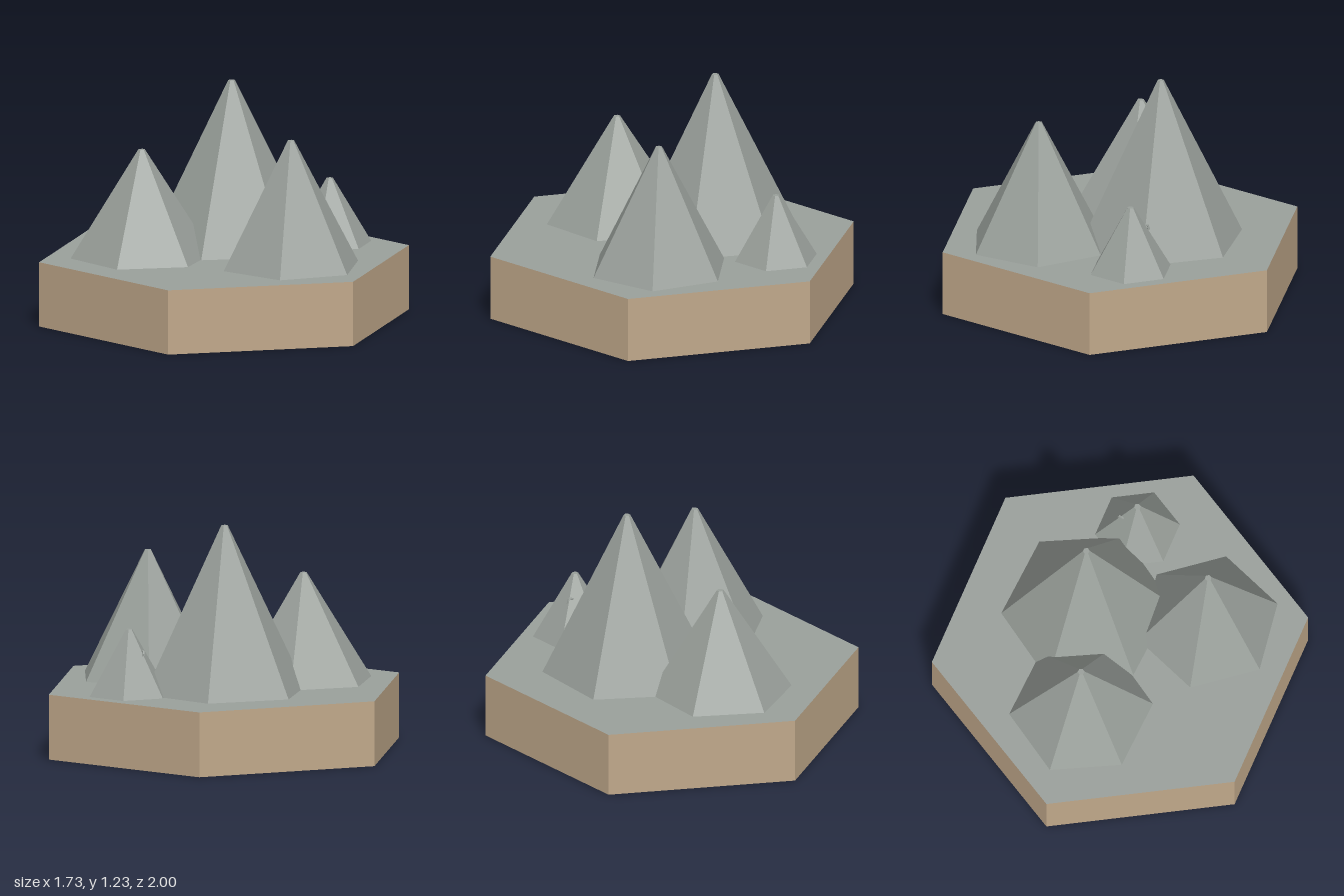
import * as THREE from 'three';

const BASE_HEIGHT = 0.346;

export function createModel() {
  const group = new THREE.Group();
  const rock = new THREE.MeshStandardMaterial({ color: 0x9aa09b, flatShading: true });
  rock.name = 'rock grey';
  const earth = new THREE.MeshStandardMaterial({ color: 0xc0a88a, flatShading: true });
  earth.name = 'earth tan';

  // Hexagonal tile: earth sides and underside, rock top
  const tile = new THREE.Mesh(
    new THREE.CylinderGeometry(1, 1, BASE_HEIGHT, 6),
    [earth, rock, earth]
  );
  tile.name = 'hexTile';
  tile.position.y = BASE_HEIGHT / 2;
  group.add(tile);

  // Six-sided peaks with a tiny flat tip: x, z, radius, summit height, turn in degrees
  const peaks = [
    ['tallPeak', -0.035, -0.248, 0.449, 1.23, -3.7],
    ['rightPeak', -0.398, 0.185, 0.38, 0.92, -2.8],
    ['leftPeak', 0.431, 0.201, 0.38, 1.022, 8.4],
    ['smallPeak', 0.448, -0.438, 0.225, 0.695, 0],
  ];
  for (const [name, x, z, radius, summit, turn] of peaks) {
    const height = summit - BASE_HEIGHT;
    const peak = new THREE.Mesh(new THREE.CylinderGeometry(0.018, radius, height, 6), rock);
    peak.name = name;
    peak.position.set(x, BASE_HEIGHT + height / 2, z);
    peak.rotation.y = THREE.MathUtils.degToRad(turn);
    group.add(peak);
  }

  // Tiny curled outcrop on the small peak
  const curl = new THREE.CatmullRomCurve3([
    new THREE.Vector3(0.385, 0.53, -0.46),
    new THREE.Vector3(0.375, 0.58, -0.465),
    new THREE.Vector3(0.365, 0.585, -0.485),
    new THREE.Vector3(0.362, 0.56, -0.492),
  ]);
  const outcrop = new THREE.Mesh(new THREE.TubeGeometry(curl, 8, 0.006, 5), rock);
  outcrop.name = 'outcrop';
  group.add(outcrop);

  return group;
}
